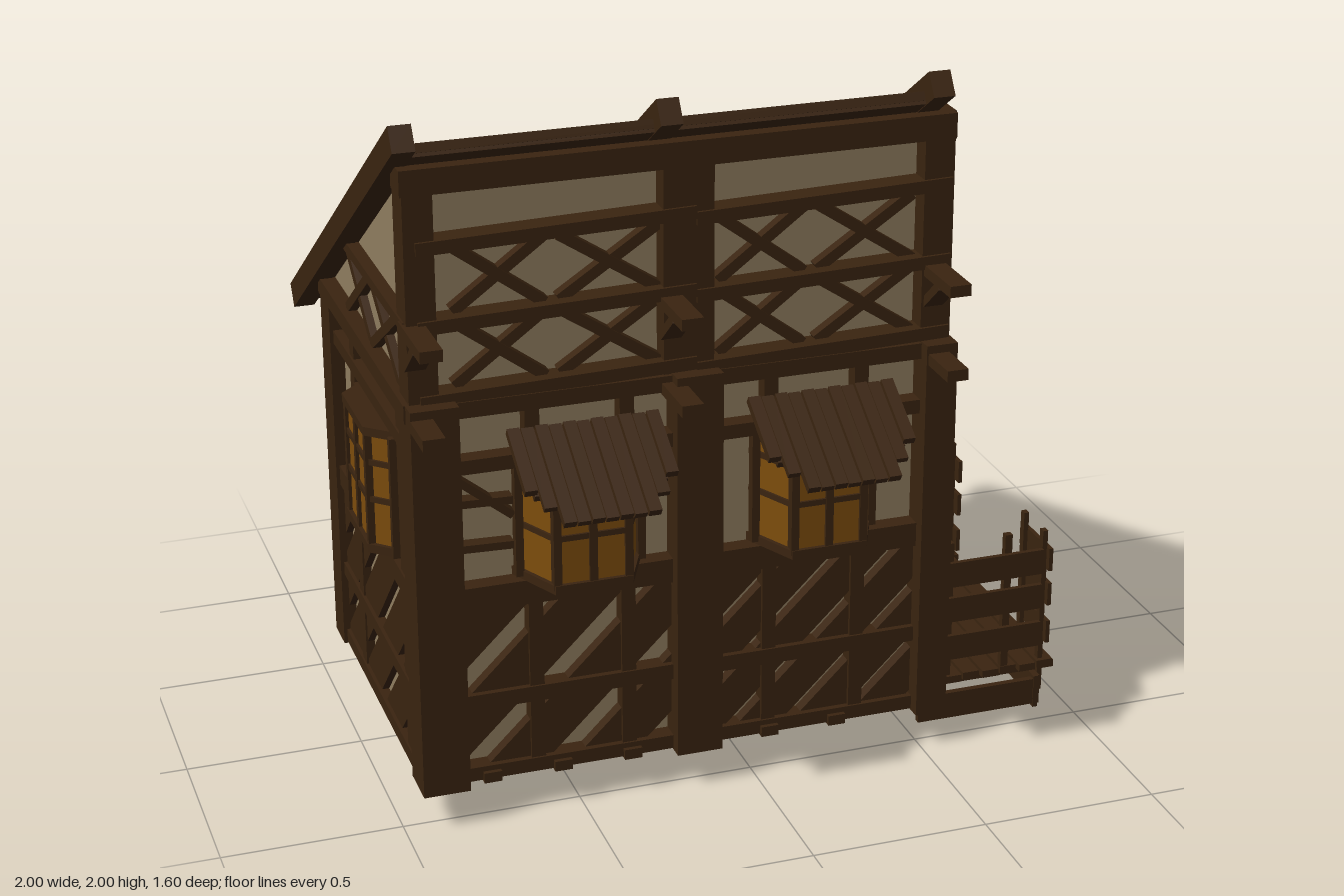
import * as THREE from 'three';

const mat = (name, color) => Object.assign(new THREE.MeshStandardMaterial({ color }), { name });
const wood = mat('dark timber', 0x3a2410);
const plaster = mat('plaster', 0x8f7d60);
const glass = mat('amber glass', 0x7d4d0c);

function add(parent, name, geo, material = wood) {
  const m = new THREE.Mesh(geo, material);
  m.name = name;
  parent.add(m);
  return m;
}
function group(parent, name) {
  const g = new THREE.Group();
  g.name = name;
  parent.add(g);
  return g;
}
// Box given by its extents
function box(p, name, x0, x1, y0, y1, z0, z1, material) {
  const m = add(p, name, new THREE.BoxGeometry(x1 - x0, y1 - y0, z1 - z0), material);
  m.position.set((x0 + x1) / 2, (y0 + y1) / 2, (z0 + z1) / 2);
  return m;
}
// Flat polygon extruded from depth z0 to z1
function plate(p, name, pts, z0, z1, material) {
  const shape = new THREE.Shape(pts.map(([x, y]) => new THREE.Vector2(x, y)));
  const m = add(p, name, new THREE.ExtrudeGeometry(shape, { depth: z1 - z0, bevelEnabled: false }), material);
  m.position.z = z0;
  return m;
}
// Straight thin brace between two points of a wall
function brace(p, x0, y0, x1, y1, z0, z1, w = 0.03) {
  const m = add(p, 'brace', new THREE.BoxGeometry(Math.hypot(x1 - x0, y1 - y0), w, z1 - z0));
  m.position.set((x0 + x1) / 2, (y0 + y1) / 2, (z0 + z1) / 2);
  m.rotation.z = Math.atan2(y1 - y0, x1 - x0);
}
function cross(p, x0, x1, y0, y1, z0, z1) {
  brace(p, x0, y0, x1, y1, z0, z1 - 0.004);
  brace(p, x0, y1, x1, y0, z0, z1);
}
// Keep the part of a convex polygon on one side of a vertical line
function clip(pts, x, s) {
  const out = [];
  pts.forEach((a, i) => {
    const b = pts[(i + 1) % pts.length], da = (a[0] - x) * s, db = (b[0] - x) * s;
    if (da >= 0) out.push(a);
    if (da * db < 0) out.push([x, a[1] + (b[1] - a[1]) * da / (da - db)]);
  });
  return out;
}
// Row of slanted boards filling a panel
function slants(p, x0, x1, y0, y1, z0, z1, w, step, run = 0.5) {
  for (let x = x0 - run + 0.02; x < x1; x += step) {
    const pts = clip(clip([[x, y0], [x + w, y0], [x + w + run, y1], [x + run, y1]], x0, 1), x1, -1);
    if (pts.length > 2) plate(p, 'slantedBoard', pts, z0, z1);
  }
}
// Bay window: faceted glass with sill, bars and mullions
function bayWindow(p, x, y0, y1, z, depth, half) {
  const g = group(p, 'bayWindow');
  g.position.set(x, 0, z);
  const inner = half * 0.58;
  const slab = (name, a, b, grow, material) => {
    const h = half + grow, n = inner + grow * 0.7, d = depth + grow;
    const m = plate(g, name, [[-h, 0], [h, 0], [n, -d], [-n, -d]].reverse(), 0, b - a, material);
    m.rotation.x = -Math.PI / 2;
    m.position.set(0, a, 0);
  };
  slab('glass', y0, y1, 0, glass);
  slab('sill', y0 - 0.01, y0 + 0.015, 0.012);
  slab('windowHead', y1 - 0.015, y1 + 0.01, 0.012);
  [0.42, 0.73].forEach(t => slab('glazingBar', y0 + (y1 - y0) * t - 0.008, y0 + (y1 - y0) * t + 0.008, 0.007));
  [[-half, 0.035], [-inner, depth], [0, depth], [inner, depth], [half, 0.035]].forEach(([u, d]) =>
    box(g, 'mullion', u - 0.011, u + 0.011, y0, y1, d - 0.02, d + 0.009));
}
// Sloping plank awning with shorter outer planks
function awning(p, x, y, z) {
  const g = group(p, 'awning');
  g.position.set(x, y, z);
  g.rotation.x = 0.56;
  for (let i = -5; i <= 5; i++) {
    const len = 0.31 - Math.max(0, Math.abs(i) - 3) * 0.055;
    box(g, 'awningPlank', i * 0.038 - 0.017, i * 0.038 + 0.017, -0.01, 0.008 + (i & 1) * 0.005, 0, len);
  }
  [0.05, 0.18].forEach(d => box(g, 'awningBatten', -0.18, 0.18, -0.03, -0.008, d, d + 0.025));
}

const BAYS = [[-0.82, -0.23], [-0.1, 0.48]];
const POSTS = [[-0.95, -0.82], [-0.23, -0.1], [0.48, 0.57]];

// Long lower wall, shared by front and back; s mirrors x for the back
function longWall(p, name, s, zIn, zPost, drop) {
  const g = group(p, name);
  if (s < 0) g.rotation.y = Math.PI;
  const span = (a, b) => s > 0 ? [a, b] : [-b, -a];
  const z = zIn + 0.04;
  box(g, 'infill', ...span(-0.92, 0.52), 0.13, 1.22, zIn - 0.02, zIn, plaster);
  POSTS.forEach(([a, b]) => box(g, 'post', ...span(a, b), 0.105, 1.23, zIn - 0.04, zPost));
  [[0.11, 0.15], [0.325, 0.37], [0.62, 0.69], [1.02, 1.06], [1.18, 1.225]].forEach(([a, b]) =>
    box(g, 'rail', ...span(-0.94, 0.55), a, b, zIn - 0.01, z + 0.012));
  BAYS.forEach(([a, b], i) => {
    const [x0, x1] = span(a, b), c = (x0 + x1) / 2 + s * (i ? -0.01 : 0.04);
    [-0.13, 0.13].forEach(u => {
      box(g, 'stud', c + u - 0.02, c + u + 0.02, 0.14, 0.64, zIn - 0.01, z + 0.006);
      box(g, 'stud', c + u - 0.02, c + u + 0.02, 1.03, 1.2, zIn - 0.01, z + 0.006);
    });
    slants(g, x0, x1, 0.14, 0.63, zIn - 0.01, z - 0.005, i ? 0.14 : 0.18, i ? 0.18 : 0.27);
    if (!i) {
      const e = s > 0 ? x0 : x1;
      [0.8, 0.93].forEach(y => brace(g, e, y, e + s * 0.15, y - 0.005, zIn - 0.01, z, 0.022));
      brace(g, e, 1.0, e + s * 0.15, 0.88, zIn - 0.01, z, 0.022);
    }
    bayWindow(g, c, 0.7 - drop, 1.05 - drop, zIn, s > 0 ? 0.15 : 0.1, 0.17);
    awning(g, c, 1.135 - drop * 1.6, s > 0 ? zPost - 0.02 : zPost - 0.03);
  });
  for (let x = -0.75; x < 0.45; x += 0.2) box(g, 'joistEnd', s * x - 0.025, s * x + 0.025, 0.105, 0.135, zIn, z + 0.025);
  return g;
}

// Gable end; s = 1 when local x runs toward the front
function gable(g, s, out) {
  let tri = [[0.44, 1.2], [0.44, 1.84], [-0.5, 1.225], [-0.5, 1.2]].map(([u, y]) => [s * u, y]);
  plate(g, 'gableInfill', tri, out - 0.02, out, plaster);
  const bar = (a, b, y0, y1, z1) => box(g, 'gableRail', Math.min(s * a, s * b), Math.max(s * a, s * b), y0, y1, out - 0.03, z1);
  bar(0.5, -0.52, 1.18, 1.23, out + 0.045);
  bar(0.48, -0.22, 1.42, 1.45, out + 0.035);
  cross(g, s * 0.36, s * 0.05, 1.23, 1.42, out - 0.01, out + 0.025);
  cross(g, s * 0.04, s * -0.24, 1.23, 1.42, out - 0.01, out + 0.025);
}

export function createModel() {
  const model = new THREE.Group();
  model.name = 'timberFramedHouse';

  longWall(model, 'frontWall', 1, 0.46, 0.55, 0);
  longWall(model, 'backWall', -1, 0.45, 0.52, 0.03);

  // Upper front wall with cross bracing
  const upper = group(model, 'upperFrontWall');
  box(upper, 'infill', -0.92, 0.53, 1.2, 1.84, 0.42, 0.44, plaster);
  [[-0.94, -0.86], [-0.25, -0.11], [0.48, 0.565]].forEach(([a, b]) => box(upper, 'upperPost', a, b, 1.2, 1.87, 0.4, 0.5));
  box(upper, 'topBeam', -0.95, 0.56, 1.8, 1.87, 0.43, 0.52);
  [1.24, 1.445, 1.66].forEach(y => {
    [[-0.91, -0.16], [-0.16, 0.56]].forEach(([a, b]) => brace(upper, a, y - 0.008, b, y + 0.01, 0.43, 0.508, 0.036));
  });
  BAYS.forEach(([a, b]) => [1.255, 1.46].forEach(y => {
    const m = (a + b) / 2;
    cross(upper, a + 0.01, m - 0.04, y, y + 0.18, 0.43, 0.475);
    cross(upper, m + 0.0, b - 0.02, y, y + 0.18, 0.43, 0.475);
  }));
  // Projecting beam ends with struts
  [-0.92, -0.23, 0.515].forEach(x => {
    [1.19, 1.43].forEach(y => box(upper, 'beamEnd', x - 0.03, x + 0.03, y - 0.015, y + 0.017, 0.45, 0.68));
    const strut = add(upper, 'strut', new THREE.BoxGeometry(0.056, 0.025, 0.13));
    strut.position.set(x, 1.375, 0.54);
    strut.rotation.x = -0.7;
  });

  // Left wall (local x toward the front)
  const west = group(model, 'windowEndWall');
  west.rotation.y = -Math.PI / 2;
  box(west, 'infill', -0.48, 0.46, 0.13, 1.22, 0.89, 0.91, plaster);
  gable(west, 1, 0.91);
  [[0.11, 0.15], [0.33, 0.37], [0.62, 0.68], [1.06, 1.1]].forEach(([a, b]) => box(west, 'rail', -0.5, 0.5, a, b, 0.88, 0.94));
  [-0.2, 0.34].forEach(u => box(west, 'stud', u - 0.025, u + 0.025, 0.14, 1.2, 0.88, 0.935));
  slants(west, -0.44, 0.43, 0.14, 0.63, 0.9, 0.93, 0.18, 0.24);
  bayWindow(west, 0.08, 0.7, 1.05, 0.905, 0.083, 0.2);

  // Right wall behind the deck (local x toward the back)
  const east = group(model, 'deckEndWall');
  east.rotation.y = Math.PI / 2;
  box(east, 'infill', -0.46, 0.48, 0.13, 1.22, 0.46, 0.48, plaster);
  gable(east, -1, 0.515);
  [[-0.22, -0.16], [0.06, 0.12], [0.3, 0.36]].forEach(([a, b]) => box(east, 'doorStud', a, b, 0.14, 1.2, 0.45, 0.525));
  [[0.11, 0.15, 0.44], [0.33, 0.37, 0.36], [0.62, 0.68, 0.36], [1.02, 1.07, 0.36], [1.12, 1.19, 0.44]].forEach(([a, b, u]) =>
    box(east, 'rail', u > 0.4 ? -0.44 : -0.22, u, a, b, 0.46, 0.52));
  slants(east, -0.2, 0.34, 0.14, 0.63, 0.47, 0.505, 0.3, 0.37);
  [0.62, 0.78, 0.86].forEach(y => [[-0.44, -0.28], [0.36, 0.45]].forEach(([a, b]) => box(east, 'rung', a, b, y - 0.01, y + 0.01, 0.47, 0.505)));

  // Floor boards
  for (let i = 0; i < 11; i++) {
    const z = -0.5 + i * 0.091;
    box(model, 'floorBoard', -0.93, 0.54, 0.105 + (i % 2) * 0.004, 0.13, z, z + 0.087);
  }

  // Sloping roof
  const roof = group(model, 'roof');
  roof.position.set(0, 1.555, -0.125);
  roof.rotation.x = -0.583;
  [-0.95, -0.255, 0.49].forEach(x => box(roof, 'rafter', x - 0.03, x + 0.03, -0.072, 0, -0.81, 0.81));
  for (let i = 0; i < 15; i++) {
    const plank = box(roof, 'roofPlank', -0.93, 0.47, -0.055, -0.03, -0.755 + i * 0.101, -0.66 + i * 0.101);
    plank.rotation.x = 0.12;
  }
  box(roof, 'roofBoarding', -0.92, 0.47, -0.07, -0.052, -0.74, 0.75);

  // Side deck
  const deck = group(model, 'deck');
  for (let i = 0; i < 7; i++) {
    const x = 0.565 + i * 0.058;
    box(deck, 'deckPlank', x, x + 0.05, 0.12, 0.142, -0.46 + (i % 3) * 0.004, 0.42 + (i % 2) * 0.008);
  }
  [-0.39, -0.02, 0.35].forEach((z, i) => box(deck, 'deckJoist', 0.54, i === 2 ? 0.98 : 1, 0.1, 0.122, z - 0.042, z + 0.042));
  [0.42, -0.455].forEach(z => box(deck, 'skirtEnd', 0.54, 0.92, 0.01, 0.09, z - 0.008, z + 0.01));
  box(deck, 'skirtSide', 0.9, 0.92, 0.025, 0.1, -0.46, 0.43);
  [-0.425, 0.425].forEach(z => box(deck, 'foot', 0.9, 0.915, 0, 0.1, z - 0.008, z + 0.008));

  // Railings: two ends and two short returns beside the steps
  [-1, 1].forEach(s => {
    const rail = group(deck, 'railing');
    const z = s * 0.415;
    [0.63, 0.81].forEach(x => box(rail, 'railPost', x - 0.011, x + 0.011, 0.12, 0.56, z - 0.018, z + 0.002));
    [0.235, 0.355, 0.465].forEach(y => {
      box(rail, 'railBoard', 0.565, 0.915, y - 0.038, y + 0.038, z, z + 0.014);
      const c = s * 0.325;
      box(rail, 'returnBoard', 0.935, 0.947, y - 0.035, y + 0.035, c - 0.1, c + 0.1);
    });
    [0.265, 0.395].forEach(u => box(rail, 'returnPost', 0.922, 0.937, 0.04, 0.55, s * u - 0.011, s * u + 0.011));
  });

  return model;
}
